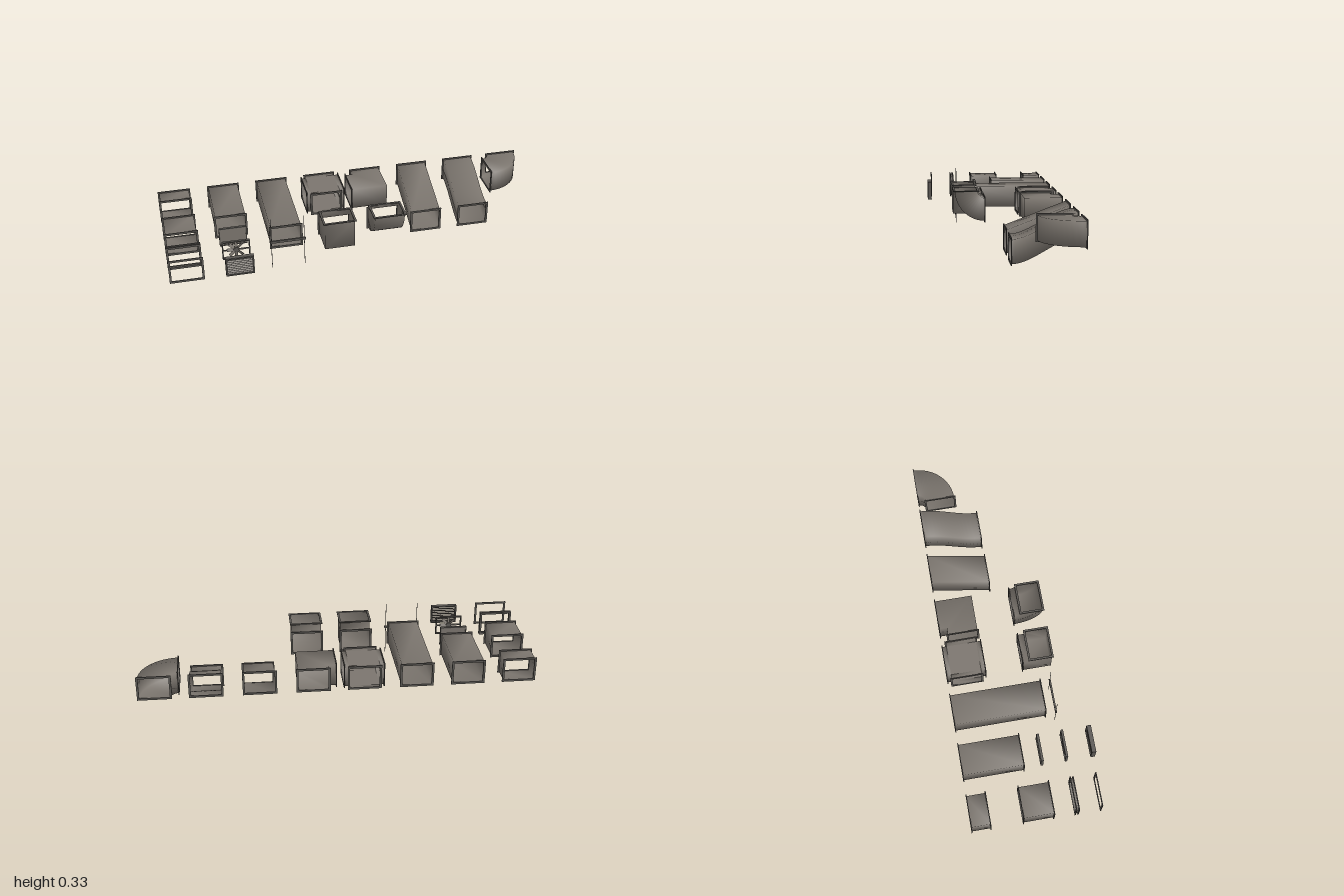
import * as THREE from 'three';

const sheet = new THREE.MeshStandardMaterial({ color: 0x7b756e, side: THREE.DoubleSide });
sheet.name = 'duct sheet metal';
const trim = new THREE.MeshStandardMaterial({ color: 0x5a5753 });
trim.name = 'dark flange metal';

// Half width and half height of the duct, and the width of the flange lip
const W = 0.0775, H = 0.0575, LIP = 0.0075, THICK = 0.005;
const Y = 0.185, BACK = -0.338;

function add(parent, geometry, material, name, x = 0, y = 0, z = 0) {
  const mesh = new THREE.Mesh(geometry, material);
  mesh.name = name;
  mesh.position.set(x, y, z);
  parent.add(mesh);
  return mesh;
}

function part(parent, name, x = 0, y = 0, z = 0) {
  const group = new THREE.Group();
  group.name = name;
  group.position.set(x, y, z);
  parent.add(group);
  return group;
}

// Open tube through four-cornered rings, corners shared so they shade softly
function loft(rings) {
  const index = [];
  for (let r = 0; r < rings.length - 1; r++) {
    for (let k = 0; k < 4; k++) {
      const a = r * 4 + k, b = r * 4 + (k + 1) % 4;
      index.push(a, b, b + 4, a, b + 4, a + 4);
    }
  }
  const geometry = new THREE.BufferGeometry();
  geometry.setAttribute('position', new THREE.Float32BufferAttribute(rings.flat(2), 3));
  geometry.setIndex(index);
  geometry.computeVertexNormals();
  return geometry;
}

const ringAt = (z, y = 0) => [[-W, y - H, z], [W, y - H, z], [W, y + H, z], [-W, y + H, z]];

// Rectangular frame facing z, centred on its depth
function frame(w, h, lip, depth, outer = LIP) {
  const rect = (target, a, b) => target.moveTo(-a, -b).lineTo(a, -b).lineTo(a, b).lineTo(-a, b).closePath();
  const shape = rect(new THREE.Shape(), w + outer, h + outer);
  shape.holes.push(rect(new THREE.Path(), w + outer - lip, h + outer - lip));
  return new THREE.ExtrudeGeometry(shape, { depth, bevelEnabled: false }).translate(0, 0, -depth / 2);
}

function flange(parent, x, y, z, turn = 0, w = W, h = H) {
  const mesh = add(parent, frame(w, h, LIP + 0.003, THICK), trim, 'flange', x, y, z);
  mesh.rotation.y = turn;
}

// Duct running along z, optionally dropping towards the front
function duct(parent, name, x, z0, z1, drop = 0, steps = 1, ease = t => t) {
  const group = part(parent, name, x, Y, 0);
  const rings = [];
  for (let i = 0; i <= steps; i++) {
    const t = i / steps;
    rings.push(ringAt(z0 + (z1 - z0) * t, -drop * ease(t)));
  }
  add(group, loft(rings), sheet, 'ductWall');
  flange(group, 0, 0, z0 + THICK / 2);
  flange(group, 0, -drop, z1 - THICK / 2);
  return group;
}

// Quarter bend about the local y axis: one mouth at z = 0, the other at x = 0
function elbow(parent, name, R, w, h, round) {
  const group = part(parent, name);
  const corners = (i, o) => [[i[0], -h, i[1]], [o[0], -h, o[1]], [o[0], h, o[1]], [i[0], h, i[1]]];
  const rings = [];
  if (round) {
    for (let k = 0; k <= 12; k++) {
      const a = k / 12 * Math.PI / 2, c = Math.cos(a), s = Math.sin(a);
      rings.push(corners([(R - w) * c, (R - w) * s], [(R + w) * c, (R + w) * s]));
    }
  } else {
    rings.push(corners([R - w, 0], [R + w, 0]));
    rings.push(corners([R - w, R - w], [R + w, R + w]));
    rings.push(corners([0, R - w], [0, R + w]));
  }
  add(group, loft(rings), sheet, 'bendWall');
  flange(group, R, 0, THICK / 2, 0, w, h);
  flange(group, THICK / 2, 0, R, Math.PI / 2, w, h);
  return group;
}

export function createModel() {
  const model = new THREE.Group();
  model.name = 'ventilationDuctKit';

  // Straight ducts
  duct(model, 'shortDuct', -0.915, BACK, -0.238);
  duct(model, 'halfDuct', -0.915, -0.08, 0.077);
  duct(model, 'longDuct', -0.655, BACK, -0.026);
  duct(model, 'extraLongDuct', -0.395, BACK, 0.132);

  // Joint collar and loose flange
  duct(model, 'jointCollar', -0.915, 0.181, 0.2);
  flange(part(model, 'looseFlange', -0.915, Y, 0.312), 0, 0, 0);

  // Offset ducts, one straight and one S-shaped
  duct(model, 'slantedOffset', 0.39, BACK, -0.026, 0.12);
  duct(model, 'curvedOffset', 0.655, BACK, -0.026, 0.12, 16, t => t * t * (3 - 2 * t));

  // Four-way crossing
  const cross = part(model, 'crossing', -0.132, Y, -0.235);
  for (const side of [-1, 1]) {
    const plate = add(cross, new THREE.PlaneGeometry(2 * W, 2 * W), sheet, 'crossingPlate', 0, side * H, 0);
    plate.rotation.x = -side * Math.PI / 2;
  }
  for (let i = 0; i < 4; i++) {
    const arm = part(cross, 'crossingArm');
    arm.rotation.y = i * Math.PI / 2;
    add(arm, loft([ringAt(W), ringAt(0.103)]), sheet, 'armWall');
    flange(arm, 0, 0, 0.103 - THICK / 2);
  }

  // Flat bends
  elbow(model, 'miteredBend', 0.12, W, H, false).position.set(0.004, Y, BACK);
  elbow(model, 'roundedBend', 0.12, W, H, true).position.set(0.787, Y, BACK);

  // Upward bends
  for (const [name, x, round] of [['miteredRiser', -0.133, false], ['roundedRiser', 0.126, true]]) {
    const riser = elbow(model, name, 0.096, H, W, round);
    const basis = new THREE.Matrix4().makeBasis(
      new THREE.Vector3(0, 0, 1), new THREE.Vector3(-1, 0, 0), new THREE.Vector3(0, -1, 0));
    riser.applyMatrix4(basis);
    riser.position.set(x, 0.282, 0.056);
  }

  // Filter panel
  const filter = part(model, 'filterPanel', -0.657, Y, 0.065);
  add(filter, new THREE.BoxGeometry(0.138, 0.1, 0.007), sheet, 'filterSheet');
  add(filter, frame(0.07, 0.051, 0.005, 0.013, 0), trim, 'filterFrame');

  // Fan
  const fan = part(model, 'fan', -0.657, Y, 0.189);
  add(fan, frame(0.07, 0.051, 0.006, 0.012, 0), trim, 'fanFrame');
  add(fan, new THREE.CylinderGeometry(0.014, 0.014, 0.012, 16).rotateX(Math.PI / 2), trim, 'fanHub');
  for (let i = 0; i < 8; i++) {
    const spoke = part(fan, 'fanBlade');
    spoke.rotation.z = i * Math.PI / 4;
    add(spoke, new THREE.BoxGeometry(0.036, 0.016, 0.002), sheet, 'blade', 0.029).rotation.x = 0.5;
  }
  for (const side of [-1, 1]) {
    add(fan, new THREE.BoxGeometry(0.025, 0.006, 0.004), trim, 'fanStrut', side * 0.056);
  }

  // Louvred grille
  const grille = part(model, 'grille', -0.657, Y, 0.326);
  add(grille, frame(0.07, 0.051, 0.007, 0.022, 0), trim, 'grilleFrame');
  for (let i = 0; i < 9; i++) {
    const slat = add(grille, new THREE.BoxGeometry(0.128, 0.002, 0.016), sheet, 'slat', 0, (i - 4) * 0.0102, 0);
    slat.rotation.x = 0.75;
  }

  // Hanger with a cross bar and two rods
  const hanger = part(model, 'hanger', -0.395, 0, 0.182);
  add(hanger, new THREE.BoxGeometry(0.182, 0.012, 0.009), trim, 'hangerBar', 0, 0.194, 0);
  for (const side of [-1, 1]) {
    add(hanger, new THREE.CylinderGeometry(0.0015, 0.0015, 0.288, 8), trim, 'hangerRod', side * 0.084, 0.185, 0);
  }
  return model;
}
